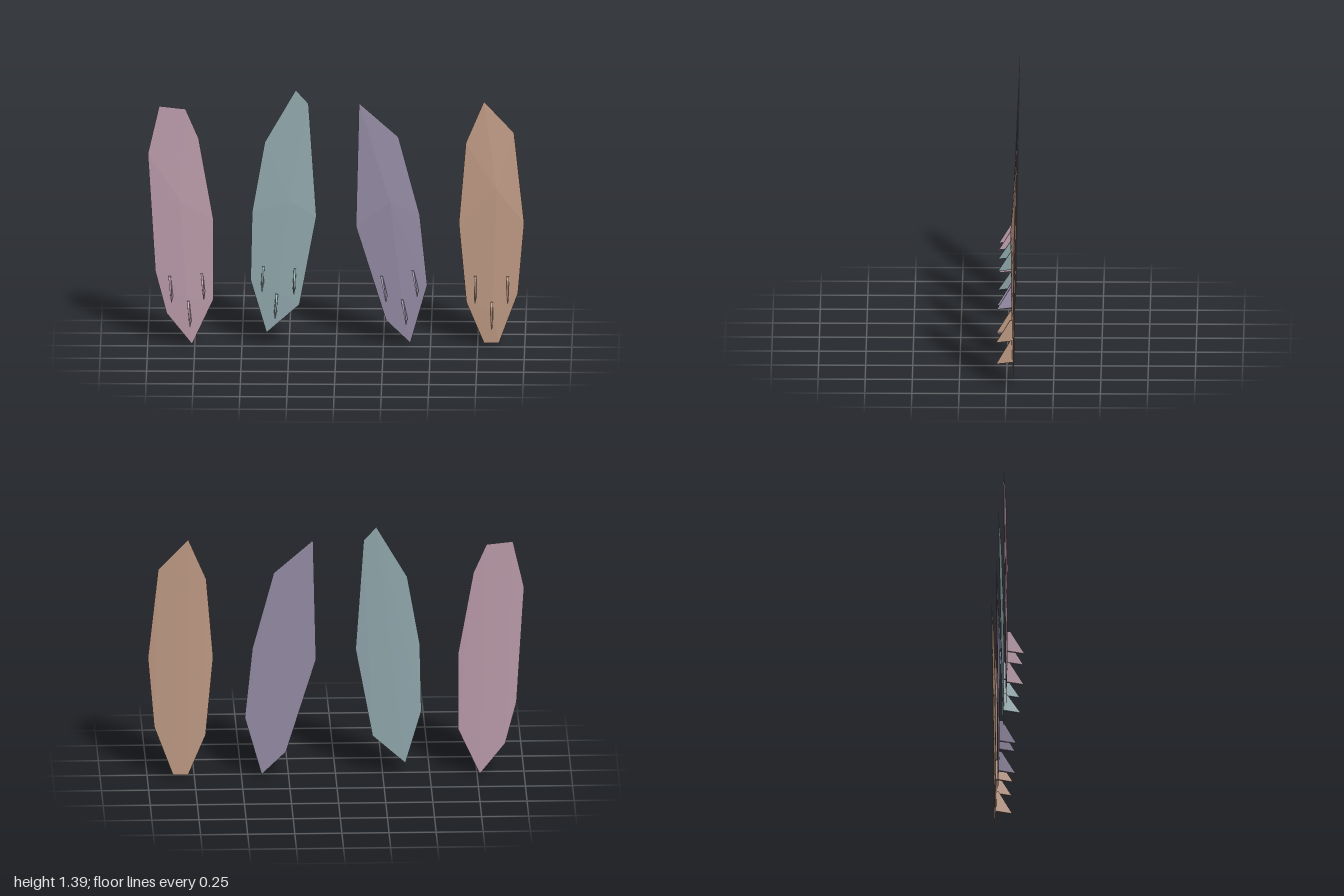
import * as THREE from 'three';
import { ConvexGeometry } from 'three/addons/geometries/ConvexGeometry.js';

const V = (x, y, z) => new THREE.Vector3(x, y, z);

// Each board: outline [x, y], raised deck points [x, y, z], fins [xTop, yTop, xBottom, yBottom]
const boards = [
  {
    name: 'pink', color: 0xb99aa8,
    rim: [[-0.94, 1.315], [-0.8, 1.3], [-0.73, 1.14], [-0.65, 0.69], [-0.65, 0.26], [-0.765, 0.01], [-0.9, 0.18], [-0.96, 0.41], [-1, 1.055]],
    deck: [[-0.83, 0.8, -0.032], [-0.79, 0.25, -0.032]],
    fins: [[-0.884, 0.385, -0.873, 0.265], [-0.713, 0.4, -0.702, 0.28], [-0.785, 0.25, -0.775, 0.13]],
  },
  {
    name: 'teal', color: 0x8fa6ab,
    rim: [[-0.215, 1.405], [-0.147, 1.33], [-0.105, 0.715], [-0.195, 0.23], [-0.37, 0.075], [-0.455, 0.365], [-0.447, 0.74], [-0.38, 1.12]],
    deck: [[-0.25, 0.8, -0.031], [-0.31, 0.3, -0.032]],
    fins: [[-0.387, 0.44, -0.392, 0.325], [-0.219, 0.43, -0.224, 0.31], [-0.315, 0.29, -0.323, 0.175]],
  },
  {
    name: 'purple', color: 0x938aa3,
    rim: [[0.12, 1.335], [0.33, 1.15], [0.443, 0.725], [0.483, 0.34], [0.393, 0.02], [0.264, 0.145], [0.104, 0.66]],
    deck: [[0.286, 0.8, -0.026], [0.35, 0.25, -0.031]],
    fins: [[0.24, 0.39, 0.264, 0.27], [0.406, 0.42, 0.43, 0.3], [0.35, 0.26, 0.371, 0.145]],
  },
  {
    name: 'orange', color: 0xbd9883,
    rim: [[0.783, 1.345], [0.943, 1.175], [0.997, 0.68], [0.964, 0.295], [0.863, 0.022], [0.783, 0.022], [0.69, 0.245], [0.65, 0.68], [0.687, 1.12]],
    deck: [[0.85, 0.87, -0.022], [0.825, 0.2, -0.028]],
    fins: [[0.737, 0.39, 0.737, 0.265], [0.91, 0.39, 0.91, 0.265], [0.825, 0.25, 0.825, 0.12]],
  },
];

// The nose curves back away from the flat tail
const rimDepth = (y) => -0.038 - 0.019 * Math.pow(Math.max(0, (y - 0.65) / 0.7), 1.5);

// Swept triangular fin: wide foot on the board, thin tip
function finGeometry([xt, yt, xb, yb]) {
  const points = [];
  for (const s of [-1, 1]) {
    points.push(
      V(xt + s * 0.006, yt, -0.02), V(xt + s * 0.006, yt, -0.035),
      V(xb + s * 0.007, yb + 0.012, -0.02), V(xb + s * 0.007, yb + 0.012, -0.035),
      V(xb + s * 0.002, yb, 0.055),
    );
  }
  return new ConvexGeometry(points);
}

export function createModel() {
  const model = new THREE.Group();
  model.name = 'surfboards';
  for (const { name, color, rim, deck, fins } of boards) {
    const material = new THREE.MeshStandardMaterial({ color });
    material.name = name;
    const board = new THREE.Group();
    board.name = `${name}Board`;

    // Faceted body
    const body = new THREE.Mesh(new ConvexGeometry([
      ...rim.map(([x, y]) => V(x, y, rimDepth(y))),
      ...deck.map((p) => V(...p)),
    ]), material);
    body.name = 'body';
    board.add(body);

    // Two side fins and one tail fin
    fins.forEach((f, i) => {
      const fin = new THREE.Mesh(finGeometry(f), material);
      fin.name = ['rightFin', 'leftFin', 'tailFin'][i];
      board.add(fin);
    });
    model.add(board);
  }
  return model;
}
